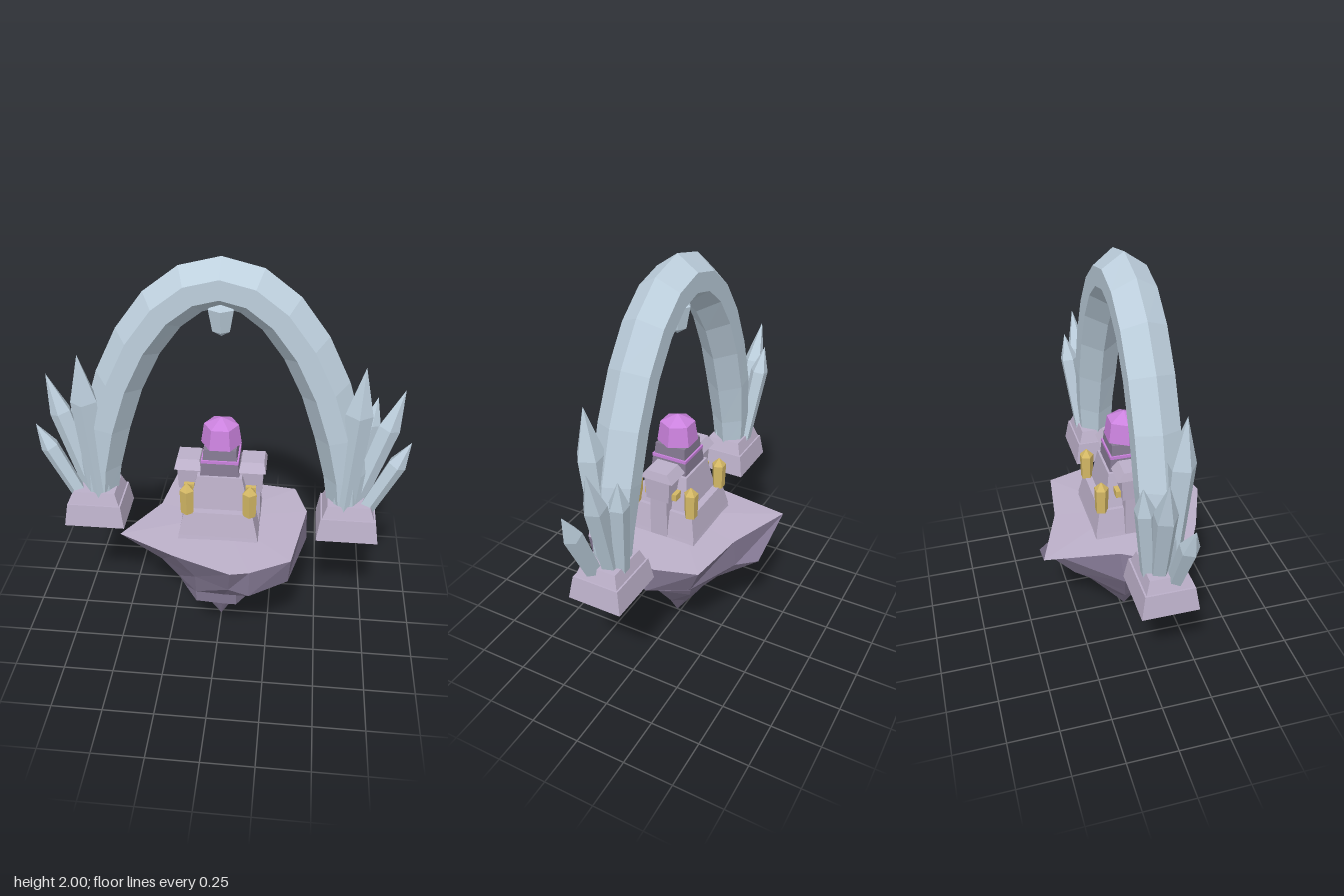
import * as THREE from 'three';

const mat = (name, color) => {
  const m = new THREE.MeshStandardMaterial({ color, flatShading: true });
  m.name = name;
  return m;
};

export function createModel() {
  const stone = mat('pale stone', 0xbcb0c9);
  const cliff = mat('dark rock', 0x80758f);
  const trim = mat('grey trim', 0x857a92);
  const ice = mat('ice crystal', 0xbed0de);
  const gold = mat('gold', 0xd4b865);
  const violet = mat('violet gem', 0xcb82de);
  const root = new THREE.Group();
  root.name = 'floatingShrine';
  const Z = 0.015; // shared centre line of arch, bases and shrine

  const add = (parent, name, geo, material, x = 0, y = 0, z = 0) => {
    const mesh = new THREE.Mesh(geo, material);
    mesh.name = name;
    mesh.position.set(x, y, z);
    parent.add(mesh);
    return mesh;
  };

  // Box whose top is narrowed: half sizes at bottom and top, from y0 to y1
  const block = (y0, y1, bx, bz, tx, tz) => {
    const g = new THREE.BoxGeometry(2, y1 - y0, 2);
    const p = g.attributes.position;
    for (let i = 0; i < p.count; i++) {
      const top = p.getY(i) > 0;
      p.setX(i, p.getX(i) * (top ? tx : bx));
      p.setZ(i, p.getZ(i) * (top ? tz : bz));
    }
    g.translate(0, (y0 + y1) / 2, 0);
    g.computeVertexNormals();
    return g;
  };

  // Flat-faceted skin through loops of equal length
  const loft = (rings) => {
    const n = rings[0].length;
    const idx = [];
    for (let r = 0; r < rings.length - 1; r++) {
      for (let i = 0; i < n; i++) {
        const a = r * n + i, b = r * n + (i + 1) % n;
        idx.push(a, a + n, b, b, a + n, b + n);
      }
    }
    const g = new THREE.BufferGeometry();
    g.setAttribute('position', new THREE.Float32BufferAttribute(rings.flat(2), 3));
    g.setIndex(idx);
    const flat = g.toNonIndexed();
    flat.computeVertexNormals();
    return flat;
  };

  // Island: rings of [x, z] from the rim down to the point
  const island = new THREE.Group();
  island.name = 'island';
  root.add(island);
  const level = (y, pts) => pts.map(([x, z]) => [x, y, z]);
  const same = (x, y, z) => Array.from({ length: 10 }, () => [x, y, z]);
  const rim = level(0.63, [[-0.485, 0.19], [-0.2, 0.335], [0.08, 0.445], [0.17, 0.425], [0.36, 0.32],
    [0.43, -0.09], [0.365, -0.29], [0.06, -0.33], [-0.27, -0.45], [-0.32, -0.09]]);
  const upper = level(0.49, [[-0.28, 0.19], [-0.1, 0.31], [0.07, 0.39], [0.17, 0.425], [0.35, 0.3],
    [0.435, -0.05], [0.33, -0.23], [0.06, -0.34], [-0.02, -0.43], [-0.365, -0.08]]);
  const ledge = level(0.37, [[-0.2, 0.17], [-0.1, 0.28], [0.04, 0.29], [0.1, 0.29], [0.17, 0.18],
    [0.23, 0], [0.21, -0.17], [0.05, -0.24], [-0.1, -0.27], [-0.3, -0.06]]);
  const middle = level(0.31, [[-0.17, 0.17], [-0.1, 0.28], [0.04, 0.29], [0.1, 0.29], [0.17, 0.18],
    [0.23, 0], [0.18, -0.15], [0.05, -0.18], [-0.08, -0.2], [-0.27, -0.05]]);
  const lower = level(0.15, [[-0.08, 0.06], [-0.03, 0.08], [0.01, 0.085], [0.04, 0.07], [0.08, 0.04],
    [0.105, 0], [0.07, -0.06], [0.02, -0.08], [-0.03, -0.09], [-0.1, -0.02]]);
  const cliffRings = [same(0, 0, 0.02), lower, middle, ledge, upper, rim];
  add(island, 'cliffs', loft(cliffRings.map((r) => [...r].reverse())), cliff);
  add(island, 'ground', loft([same(0, 0.65, Z), rim]), stone);

  // Faceted crystal standing on the origin
  const crystal = (r, len, shoulder, baseScale) => new THREE.LatheGeometry([
    new THREE.Vector2(0, 0), new THREE.Vector2(r * baseScale, 0),
    new THREE.Vector2(r, len * shoulder), new THREE.Vector2(0, len)], 5);

  // Arch: a six-sided beam swept along a slightly pointed half ellipse
  const section = [[0.115, 0], [0.045, 0.1], [-0.045, 0.1], [-0.115, 0], [-0.045, -0.1], [0.045, -0.1]];
  const steps = 14;
  const rings = [];
  for (let i = 0; i <= steps; i++) {
    const t = Math.PI * i / steps;
    const c = Math.cos(t), s = Math.max(Math.sin(t), 0.001);
    const normal = new THREE.Vector2(1.362 * s ** 0.2 * c, 0.61 * s).normalize();
    const k = 0.75 + 0.25 * Math.min(1, s * 2.2);
    rings.push(section.map(([out, z]) => [
      0.61 * c + normal.x * out * k, 0.75 + 1.135 * s ** 1.2 + normal.y * out * k, Z + z * k]));
  }
  add(root, 'arch', loft(rings), ice);

  // Hanging crystal under the keystone
  const pendant = new THREE.LatheGeometry([[0, -0.12], [0.045, -0.09], [0.065, 0.015], [0, 0.09]]
    .map(([x, y]) => new THREE.Vector2(x, y)), 6);
  add(root, 'hangingCrystal', pendant, ice, 0, 1.755, Z);

  // Side bases with crystal clusters: foot, tip, radius, shoulder
  const cluster = [
    [[0.6, 0.77, 0.055], [0.645, 1.55, 0.095], 0.066, 0.7],
    [[0.66, 0.77, -0.01], [0.845, 1.38, -0.04], 0.054, 0.68],
    [[0.7, 0.75, 0.05], [0.885, 1.165, 0.065], 0.046, 0.7],
    [[0.64, 0.77, -0.05], [0.73, 1.3, -0.11], 0.047, 0.75],
  ];
  for (const side of [-1, 1]) {
    const pier = new THREE.Group();
    pier.name = side > 0 ? 'leftPier' : 'rightPier';
    root.add(pier);
    add(pier, 'pierBase', block(0.63, 0.745, 0.15, 0.133, 0.133, 0.115), stone, side * 0.625, 0, Z);
    add(pier, 'pierTop', block(0.745, 0.805, 0.125, 0.107, 0.103, 0.087), stone, side * 0.625, 0, Z);
    for (const [foot, tip, r, shoulder] of cluster) {
      const a = new THREE.Vector3(side * foot[0], foot[1], foot[2]);
      const dir = new THREE.Vector3(side * tip[0], tip[1], tip[2]).sub(a);
      const m = add(pier, 'crystal', crystal(r, dir.length(), shoulder, 0.82), ice, a.x, a.y, a.z);
      m.quaternion.setFromUnitVectors(new THREE.Vector3(0, 1, 0), dir.normalize());
    }
  }

  // Shrine: stepped tower
  const shrine = new THREE.Group();
  shrine.name = 'shrine';
  shrine.position.z = Z;
  root.add(shrine);
  add(shrine, 'footing', block(0.62, 0.66, 0.2, 0.195, 0.19, 0.185), stone);
  add(shrine, 'plinth', block(0.66, 0.78, 0.192, 0.19, 0.165, 0.165), stone);
  add(shrine, 'body', block(0.78, 0.95, 0.148, 0.13, 0.108, 0.105), stone);
  add(shrine, 'darkCourse', block(0.95, 1.015, 0.094, 0.094, 0.088, 0.088), trim);
  add(shrine, 'glowBand', block(1.015, 1.03, 0.09, 0.09, 0.09, 0.09), violet);
  add(shrine, 'neck', block(1.03, 1.085, 0.082, 0.082, 0.078, 0.078), trim);
  const gem = new THREE.LatheGeometry([[0, 1.085], [0.098, 1.085], [0.083, 1.185], [0, 1.225]]
    .map(([x, y]) => new THREE.Vector2(x, y)), 6);
  gem.rotateY(Math.PI / 6);
  add(shrine, 'gem', gem, violet);

  // Side wings with small roofs and gold fittings
  for (const s of [-1, 1]) {
    add(shrine, 'wingPillar', block(0.63, 0.85, 0.035, 0.045, 0.035, 0.045), stone, s * 0.16);
    add(shrine, 'wing', block(0.85, 0.975, 0.055, 0.06, 0.06, 0.068), stone, s * 0.148);
    add(shrine, 'wingRoof', block(0.97, 1.012, 0.065, 0.088, 0.055, 0.055), stone, s * 0.155);
    for (const f of [-1, 1]) {
      add(shrine, 'goldFitting', new THREE.BoxGeometry(0.05, 0.035, 0.05), gold, s * 0.15, 0.87, f * 0.06);
      add(shrine, 'cornerCrystal', crystal(0.036, 0.165, 0.77, 0.9), gold, s * 0.15, 0.775, f * 0.152);
    }
  }
  return root;
}
